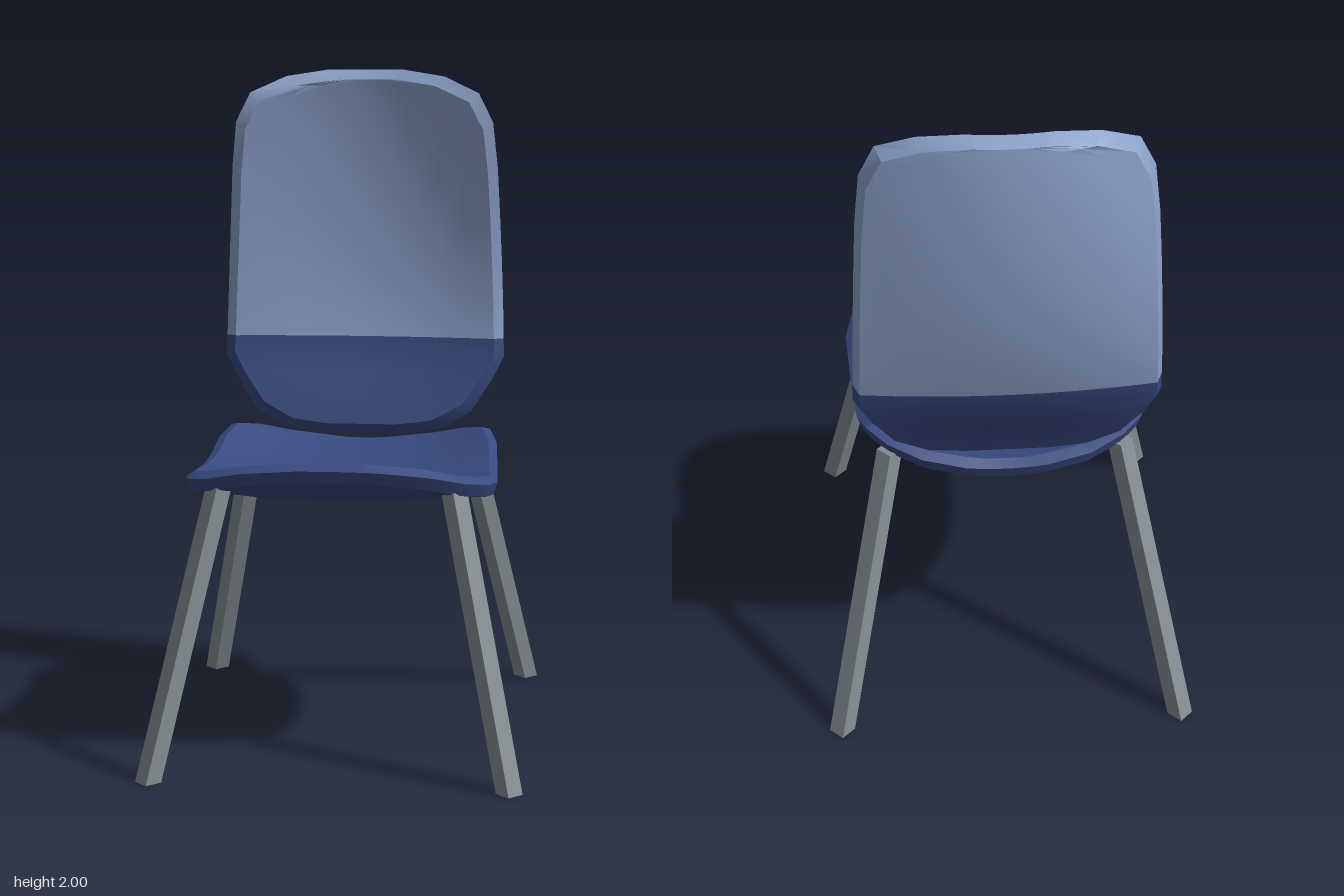
import * as THREE from 'three';
import { toCreasedNormals } from 'three/addons/utils/BufferGeometryUtils.js';

const COLS = 10;

// Curved slab with a bevelled rim. Rows are [v, halfWidth, centre offset, edge offset];
// layers are [inset, depth] from face to reverse; place maps (x, v, offset) to space.
function slab(rows, pivot, layers, place, isUpper) {
  const last = rows.length - 1;
  const grids = layers.map(([inset, depth]) => rows.map(([v, w, c, s]) => {
    const end = v > pivot === rows[0][0] > pivot ? rows[0][0] : rows[last][0];
    const vv = pivot + (v - pivot) * (1 - inset / Math.abs(end - pivot));
    return Array.from({ length: COLS + 1 }, (_, j) => {
      const x = (w - inset) * (2 * j / COLS - 1);
      return place(x, vv, c + s * (x / 0.43) ** 2 - depth);
    });
  }));
  const parts = [[], []];
  const tri = (a, b, c) => {
    const upper = (a.y + b.y + c.y) / 3 > isUpper ? 1 : 0;
    for (const p of [a, b, c]) parts[upper].push(p.x, p.y, p.z);
  };
  const quad = (a, b, c, d) => { tri(a, b, c); tri(a, c, d); };

  // Face and reverse
  const front = grids[0], back = grids[grids.length - 1];
  for (let i = 0; i < last; i++) {
    for (let j = 0; j < COLS; j++) {
      quad(front[i][j], front[i][j + 1], front[i + 1][j + 1], front[i + 1][j]);
      quad(back[i][j], back[i + 1][j], back[i + 1][j + 1], back[i][j + 1]);
    }
  }
  // Rim strips between neighbouring layers
  const ring = (g) => [
    ...g[0].slice(0, COLS),
    ...g.slice(0, last).map((r) => r[COLS]),
    ...g[last].slice(1).reverse(),
    ...g.slice(1).map((r) => r[0]).reverse(),
  ];
  for (let k = 0; k + 1 < grids.length; k++) {
    const a = ring(grids[k]), b = ring(grids[k + 1]);
    a.forEach((p, i) => {
      const n = (i + 1) % a.length;
      quad(p, b[i], b[n], a[n]);
    });
  }
  const geo = new THREE.BufferGeometry();
  geo.setAttribute('position', new THREE.Float32BufferAttribute([...parts[0], ...parts[1]], 3));
  geo.addGroup(0, parts[0].length / 3, 0);
  geo.addGroup(parts[0].length / 3, parts[1].length / 3, 1);
  return toCreasedNormals(geo, 0.5);
}

// Square leg, sheared so that its foot lies flat on the floor
function legGeometry(top, foot) {
  const geo = new THREE.CylinderGeometry(0.038, 0.038, 1, 4).toNonIndexed();
  const p = geo.attributes.position;
  for (let i = 0; i < p.count; i++) {
    const t = p.getY(i) + 0.5;
    p.setXYZ(i,
      p.getX(i) + THREE.MathUtils.lerp(foot.x, top.x, t),
      THREE.MathUtils.lerp(foot.y, top.y, t),
      p.getZ(i) + THREE.MathUtils.lerp(foot.z, top.z, t));
  }
  geo.computeVertexNormals();
  return geo;
}

export function createModel() {
  const material = (name, color) => {
    const m = new THREE.MeshStandardMaterial({ color });
    m.name = name;
    return m;
  };
  const navy = material('navy', 0x384a80);
  const paleBlue = material('paleBlue', 0x8aa0c8);
  const grey = material('grey', 0x858d92);

  const model = new THREE.Group();
  model.name = 'chair';
  const add = (name, geo, mat) => {
    const mesh = new THREE.Mesh(geo, mat);
    mesh.name = name;
    model.add(mesh);
  };

  // Seat: dished, with a raised front lip and raised rear corners
  const seatRows = [
    [0.5, 0.12, 0.912, -0.02], [0.485, 0.27, 0.905, -0.02], [0.44, 0.38, 0.88, -0.01],
    [0.37, 0.44, 0.848, 0.01], [0.27, 0.46, 0.813, 0.03], [0.13, 0.453, 0.785, 0.05],
    [0, 0.447, 0.773, 0.062], [-0.1, 0.441, 0.772, 0.08], [-0.19, 0.435, 0.782, 0.1],
    [-0.28, 0.41, 0.805, 0.115], [-0.345, 0.35, 0.822, 0.11], [-0.39, 0.25, 0.832, 0.1],
    [-0.41, 0.12, 0.836, 0.1],
  ];
  add('seat', slab(seatRows, 0, [[0.025, 0], [0, 0.02], [0.012, 0.057]],
    (x, z, y) => new THREE.Vector3(x, y, z), 9), [navy, navy]);

  // Backrest: wraps forward at the sides, two-tone with a level split
  const split = 1.157;
  const backRows = [
    [0.86, 0.14, -0.36, 0], [0.875, 0.25, -0.365, 0], [0.93, 0.345, -0.385, 0.005],
    [1.03, 0.41, -0.425, 0.015], [1.1, 0.445, -0.452, 0.025], [split, 0.443, -0.466, 0.03],
    [1.27, 0.44, -0.488, 0.045], [1.4, 0.435, -0.506, 0.065], [1.55, 0.428, -0.516, 0.085],
    [1.7, 0.42, -0.517, 0.105], [1.84, 0.405, -0.508, 0.12], [1.93, 0.36, -0.498, 0.135],
    [1.98, 0.25, -0.49, 0.13], [2, 0.12, -0.486, 0.12],
  ];
  add('backrest', slab(backRows, split, [[0.03, -0.035], [0, -0.01], [0.018, 0.036]],
    (x, y, z) => new THREE.Vector3(x, y, z), split), [navy, paleBlue]);

  // Splayed legs
  for (const [side, sx] of [['left', 1], ['right', -1]]) {
    add(side + 'FrontLeg', legGeometry(
      new THREE.Vector3(sx * 0.342, 0.825, 0.408), new THREE.Vector3(sx * 0.518, 0, 0.633)), grey);
    add(side + 'RearLeg', legGeometry(
      new THREE.Vector3(sx * 0.342, 0.84, -0.32), new THREE.Vector3(sx * 0.518, 0, -0.627)), grey);
  }
  return model;
}
